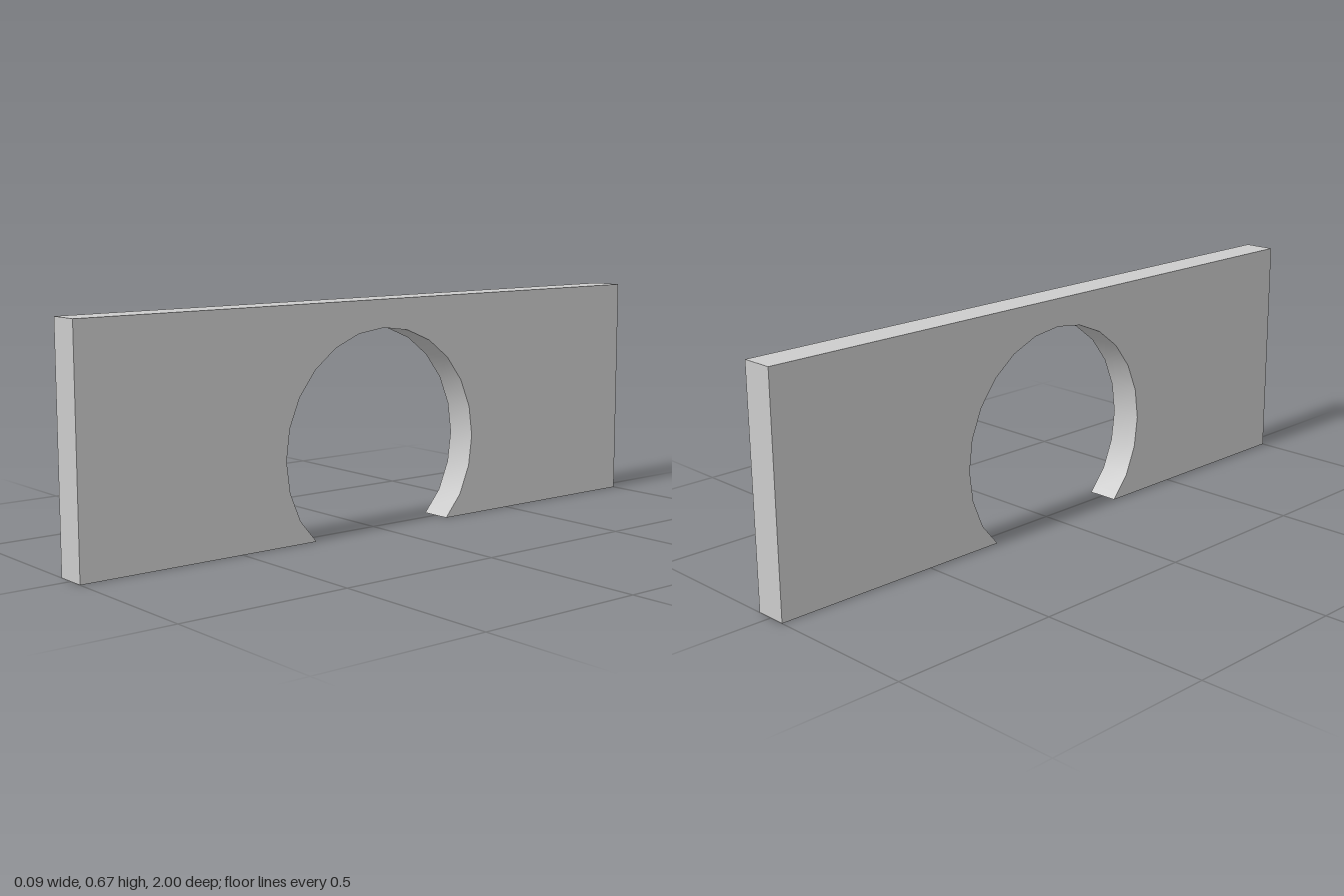
import * as THREE from 'three';
import { toCreasedNormals } from 'three/addons/utils/BufferGeometryUtils.js';

const LENGTH = 2, HEIGHT = 0.673, THICKNESS = 0.095;
const RADIUS = 0.35, CENTRE_Y = 0.241, STEP = Math.PI / 12;

export function createModel() {
  const group = new THREE.Group();
  group.name = 'archedWall';

  // Wall outline, drawn lengthwise
  const outline = new THREE.Shape();
  outline.moveTo(LENGTH / 2, 0);
  outline.lineTo(LENGTH / 2, HEIGHT);
  outline.lineTo(-LENGTH / 2, HEIGHT);
  outline.lineTo(-LENGTH / 2, 0);

  // Round opening, cut off at the ground
  for (let i = -9; i <= 9; i++) {
    const a = i * STEP;
    const y = CENTRE_Y + RADIUS * Math.cos(a);
    outline.lineTo(RADIUS * Math.sin(a), Math.abs(i) === 9 ? 0 : y);
  }
  outline.closePath();

  // Thickness runs along x, length along z; opening is smooth, corners sharp
  let geometry = new THREE.ExtrudeGeometry(outline, { depth: THICKNESS, bevelEnabled: false });
  geometry.translate(0, 0, -THICKNESS / 2);
  geometry.rotateY(-Math.PI / 2);
  geometry = toCreasedNormals(geometry, 0.5);

  const wall = new THREE.Mesh(geometry, new THREE.MeshStandardMaterial({ color: 0xcccccc }));
  wall.name = 'wall';
  group.add(wall);
  return group;
}
